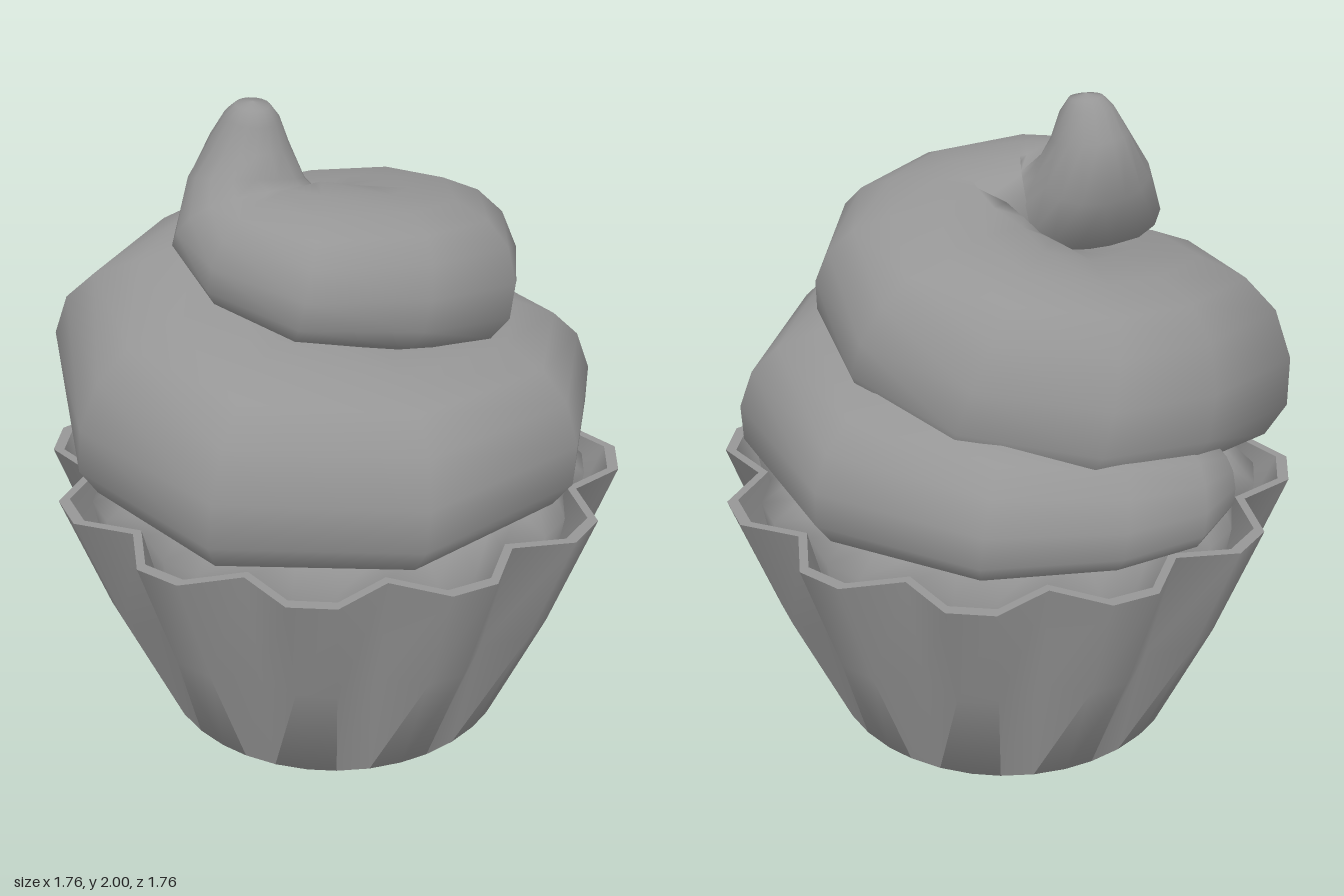
import * as THREE from 'three';
import { toCreasedNormals } from 'three/addons/utils/BufferGeometryUtils.js';

const rad = THREE.MathUtils.degToRad;
const material = new THREE.MeshStandardMaterial({ color: 0x969696 });

// Skin a list of equally long closed rings of points
function skin(rings) {
  const n = rings[0].length;
  const index = [];
  for (let i = 0; i < rings.length - 1; i++) {
    for (let j = 0; j < n; j++) {
      const k = (j + 1) % n;
      const a = i * n + j, b = i * n + k, c = a + n, d = b + n;
      index.push(a, c, b, b, c, d);
    }
  }
  const geometry = new THREE.BufferGeometry().setFromPoints(rings.flat());
  geometry.setIndex(index);
  geometry.computeVertexNormals();
  return geometry;
}

// Ring of 12 flutes, three points each; rising rows face outward
function flutedRing([y, valley, tip]) {
  const ring = [];
  for (let i = 0; i < 12; i++) {
    for (const [angle, r] of [[0, valley], [10.4, tip], [19.6, tip]]) {
      const t = -rad(i * 30 + angle);
      ring.push(new THREE.Vector3(r * Math.sin(t), y, r * Math.cos(t)));
    }
  }
  return ring;
}

function part(name, geometry) {
  const mesh = new THREE.Mesh(geometry, material);
  mesh.name = name;
  return mesh;
}

// Piped swirl: sheared, slightly squared ovals swept from the tip down and around
function swirlGeometry() {
  // tip sections: x, y, z, radius
  const tip = [
    [-0.10, 2.0, 0.22, 0], [-0.10, 1.99, 0.22, 0.05], [-0.105, 1.955, 0.22, 0.08],
    [-0.12, 1.88, 0.22, 0.115], [-0.125, 1.77, 0.23, 0.17],
  ];
  // coil sections: angle, outer radius, inner radius, bottom, top
  const coil = [
    [-15, 0.50, 0.05, 1.50, 1.81], [10, 0.525, 0.05, 1.45, 1.80],
    [33, 0.55, 0.02, 1.41, 1.79], [81, 0.54, -0.02, 1.35, 1.76],
    [111, 0.57, -0.06, 1.29, 1.74], [151, 0.57, -0.10, 1.24, 1.72],
    [190, 0.59, -0.10, 1.15, 1.69], [231, 0.64, -0.08, 1.05, 1.65],
    [265, 0.73, -0.03, 1.00, 1.60], [289, 0.755, 0, 0.96, 1.57],
    [317, 0.87, 0.02, 0.89, 1.53], [353, 0.865, 0.03, 0.82, 1.48],
    [385, 0.88, 0.03, 0.80, 1.44], [425, 0.85, 0.05, 0.80, 1.39],
    [470, 0.82, 0.05, 0.80, 1.35], [507, 0.82, 0.08, 0.80, 1.32],
    [552, 0.81, 0.10, 0.80, 1.30], [591, 0.82, 0.15, 0.80, 1.25],
    [623, 0.83, 0.25, 0.80, 1.18], [642, 0.84, 0.42, 0.80, 1.13],
    [652, 0.81, 0.54, 0.85, 1.07], [656, 0.69, 0.69, 0.95, 0.95],
  ];
  const sections = [
    ...tip.map(([x, y, z, r]) => (
      { c: new THREE.Vector3(x, y, z), a: r, b: r, lean: 0, square: 1 })),
    ...coil.map(([deg, out, inn, low, high]) => {
      const r = (out + inn) / 2, t = rad(deg);
      return {
        c: new THREE.Vector3(r * Math.sin(t), (low + high) / 2, r * Math.cos(t)),
        a: (out - inn) / 2, b: (high - low) / 2, lean: 0.17, square: 0.82,
      };
    }),
  ];
  const rings = sections.map(({ c, a, b, lean, square }, i) => {
    const before = sections[Math.max(i - 1, 0)].c;
    const after = sections[Math.min(i + 1, sections.length - 1)].c;
    const along = after.clone().sub(before).normalize();
    const out = new THREE.Vector3(c.x, 0, c.z).normalize();
    out.addScaledVector(along, -out.dot(along)).normalize();
    const up = out.clone().cross(along);
    const bulge = (v) => Math.sign(v) * Math.abs(v) ** square;
    return Array.from({ length: 16 }, (_, j) => {
      const t = j / 16 * Math.PI * 2;
      const u = bulge(Math.cos(t)), v = bulge(Math.sin(t));
      return c.clone()
        .addScaledVector(out, a * u - lean * b * v)
        .addScaledVector(up, b * v);
    });
  });
  return skin(rings);
}

export function createModel() {
  const model = new THREE.Group();
  model.name = 'cupcake';

  // Paper cup: base, outer wall, lip, inner wall; rows are y, valley, tip
  const cup = [
    [0, 0, 0], [0, 0.57, 0.57], [0.43, 0.672, 0.753], [0.835, 0.78, 0.894],
    [0.835, 0.75, 0.86], [0.6, 0.69, 0.77],
  ];
  model.add(part('paperCup', toCreasedNormals(skin(cup.map(flutedRing)), rad(68))));

  // Cake filling the cup with a low dome
  const cake = [
    [0.62, 0.69, 0.76], [0.81, 0.74, 0.79], [0.87, 0.69, 0.69],
    [0.89, 0.45, 0.45], [0.9, 0, 0],
  ];
  model.add(part('cake', skin(cake.map(flutedRing))));

  model.add(part('frostingSwirl', swirlGeometry()));
  return model;
}
